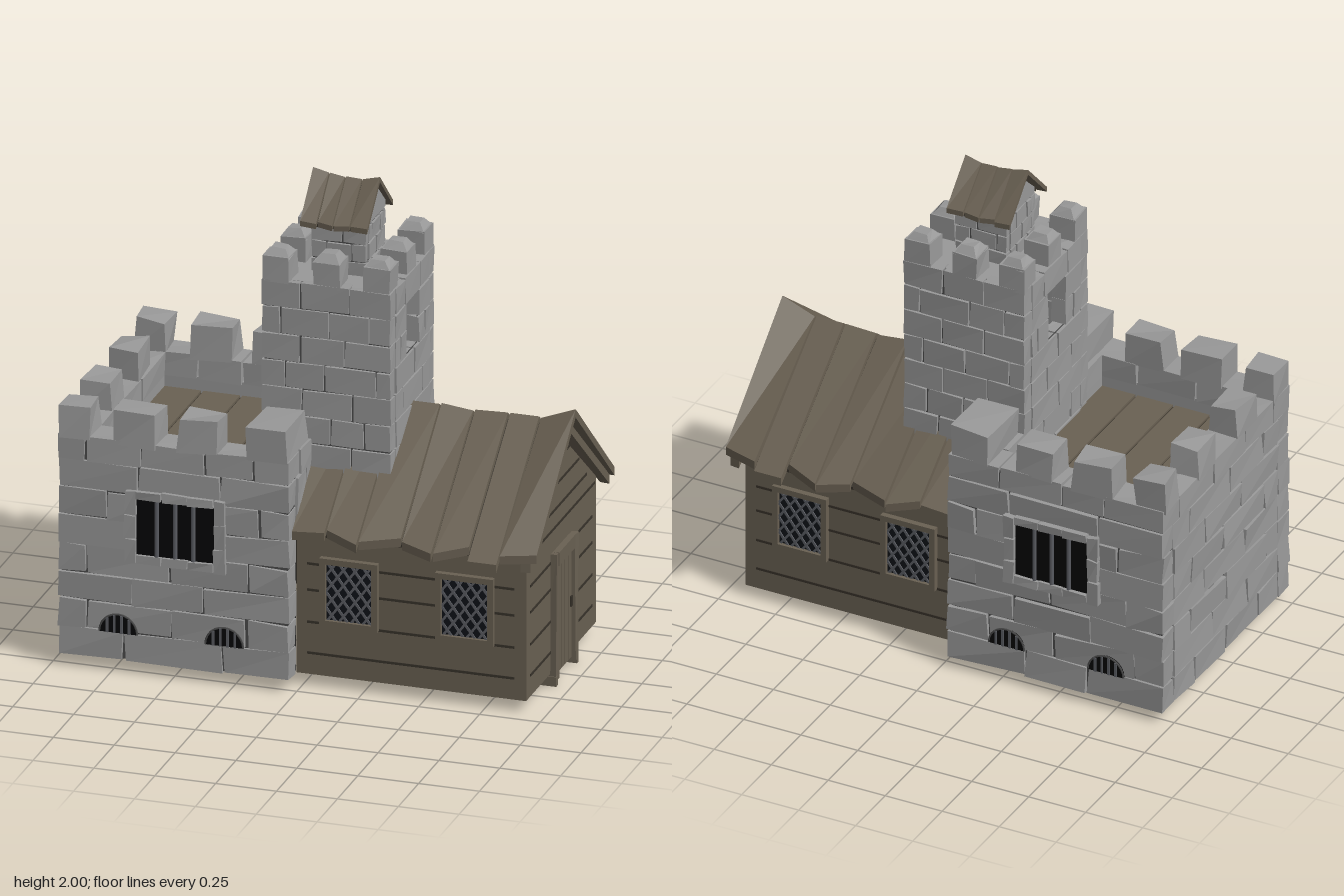
import * as THREE from 'three';
import { mergeGeometries } from 'three/addons/utils/BufferGeometryUtils.js';

const mat = (name, color) => Object.assign(new THREE.MeshStandardMaterial({ color }), { name });

export function createModel() {
  const stone = mat('stone', 0x999999), mortar = mat('mortar', 0x4c4c4c);
  const wood = mat('wood', 0x6a6153), darkWood = mat('dark wood', 0x38332b);
  const black = mat('black', 0x050506), glass = mat('dark glass', 0x0f1218), iron = mat('iron', 0x5c5e64);
  const model = new THREE.Group();
  model.name = 'castle';

  let seed = 7;
  const rnd = () => (seed = (seed * 16807) % 2147483647) / 2147483647 - 0.5;

  // Box whose eight corners are placed by a rule of (u, v, w) in 0..1
  const warp = (fn) => {
    const g = new THREE.BoxGeometry(1, 1, 1).toNonIndexed(), p = g.attributes.position;
    for (let i = 0; i < p.count; i++) p.setXYZ(i, ...fn(p.getX(i) + 0.5, p.getY(i) + 0.5, p.getZ(i) + 0.5));
    g.computeVertexNormals();
    return g;
  };
  const lerp = (a, b, t) => a + (b - a) * t;
  // Box from min/max limits, with rough corners and an optional top taper
  const block = (x0, x1, y0, y1, z0, z1, rough = 0, taper = 0) => {
    const r = Array.from({ length: 24 }, () => rnd() * rough);
    return warp((u, v, w) => {
      const k = 3 * Math.round(u * 4 + v * 2 + w), d = taper * v;
      return [lerp(x0 + d, x1 - d, u) + r[k], lerp(y0, y1, v) + r[k + 1], lerp(z0 + d, z1 - d, w) + r[k + 2]];
    });
  };
  const add = (name, geos, material, parent = model) => {
    const list = [].concat(geos).map((g) => (g.index ? g.toNonIndexed() : g));
    const m = new THREE.Mesh(list.length > 1 ? mergeGeometries(list) : list[0], material);
    m.name = name;
    parent.add(m);
  };
  // Shape in (z, y) extruded along x
  const prism = (pts, x0, x1, hole) => {
    const s = new THREE.Shape(pts.map(([z, y]) => new THREE.Vector2(-z, y)));
    if (hole) s.holes.push(new THREE.Path(hole.map(([z, y]) => new THREE.Vector2(-z, y))));
    return new THREE.ExtrudeGeometry(s, { depth: x1 - x0, bevelEnabled: false })
      .rotateY(Math.PI / 2).translate(x0, 0, 0);
  };
  const rect = (a, y0, y1) => [[-a, y0], [a, y0], [a, y1], [-a, y1]];

  // Lengths of one brick course
  const split = (a, b, bw, odd) => {
    const n = Math.max(1, Math.round((b - a) / bw)), step = (b - a) / n, e = [a];
    for (let k = odd ? 0.5 : 1; k < n; k++) e.push(a + k * step + rnd() * step * 0.3);
    e.push(b);
    return e.slice(1).map((v, i) => [e[i] + 0.004, v - 0.004]);
  };
  // Four brick walls; spans(side, y) limits the z runs of the end walls
  const ring = (x0, x1, y0, y1, z1, n, t, bw, rough, spans) => {
    const out = [], h = (y1 - y0) / n;
    for (let i = 0; i < n; i++) {
      const a = y0 + i * h + 0.003, b = y0 + (i + 1) * h - 0.003;
      for (const [p, q] of split(x0, x1, bw, i % 2)) out.push(block(p, q, a, b, z1 - t, z1, rough));
      for (const [p, q] of split(x0, x1, bw, i % 2)) out.push(block(p, q, a, b, -z1, -z1 + t, rough));
      for (const side of [-1, 1]) for (const [s, e] of spans(side, (a + b) / 2))
        for (const [p, q] of split(s, e, bw, (i + 1) % 2))
          out.push(block(side < 0 ? x0 : x1 - t, side < 0 ? x0 + t : x1, a, b, p, q, rough));
    }
    return out;
  };

  // Keep: mortar walls, bricks, dark inner lining
  add('keepBricks', ring(-0.97, -0.02, 0.05, 0.87, 0.533, 7, 0.09, 0.29, 0.012,
    (side, y) => (side > 0 && y < 0.6 ? [] : [[-0.443, 0.443]])), stone);
  add('keepMortar', [
    ...[-1, 1].map((s) => block(-0.957, -0.03, 0.055, 0.95, s * 0.475 - 0.045, s * 0.475 + 0.045)),
    block(-0.957, -0.89, 0.055, 0.95, -0.5, 0.5), block(-0.1, -0.033, 0.62, 0.95, -0.5, 0.5)], mortar);
  add('keepLining', [-1, 1].map((s) => block(-0.87, -0.03, 0.055, 0.8, s * 0.426 - 0.004, s * 0.426 + 0.004)), black);

  // Parapet rim with its inner face, and merlons
  const rim = [], merlons = [];
  for (const s of [-1, 1]) {
    const z0 = s > 0 ? 0.4 : -0.53, z1 = z0 + 0.13;
    for (const [p, q] of split(-0.975, -0.02, 0.27, s > 0)) rim.push(block(p, q, 0.873, 0.97, z0, z1, 0.008));
    rim.push(block(-0.9, -0.1, 0.8, 0.88, s * 0.425 - 0.02, s * 0.425 + 0.02));
    for (const [a, b] of [[-0.97, -0.84], [-0.74, -0.57], [-0.48, -0.32]])
      merlons.push(block(a, b, 0.96, 1.095, z0, z1, 0.018, 0.004));
    merlons.push(block(-0.2, -0.03, 0.96, 1.095, s > 0 ? 0.28 : -0.53, s > 0 ? 0.53 : -0.28, 0.015, 0.003));
    merlons.push(block(-0.97, -0.85, 0.96, 1.09, s * 0.17 - 0.08, s * 0.17 + 0.08, 0.018, 0.004));
  }
  for (const [p, q] of split(-0.4, 0.4, 0.27))
    rim.push(block(-0.97, -0.84, 0.873, 0.97, p, q, 0.008), block(-0.22, -0.02, 0.873, 0.97, p, q, 0.008));
  rim.push(block(-0.9, -0.845, 0.8, 0.88, -0.41, 0.41), block(-0.215, -0.09, 0.8, 0.88, -0.41, 0.41));
  add('keepParapet', rim, stone);
  add('keepMerlons', merlons, stone);
  add('keepRoofSeams', block(-0.85, -0.21, 0.8, 0.815, -0.41, 0.41), darkWood);
  add('keepRoofPlanks', [[-0.85, -0.695], [-0.685, -0.535], [-0.525, -0.37], [-0.36, -0.21]]
    .map(([a, b]) => block(a, b, 0.805, 0.825, -0.41, 0.41)), wood);

  // Keep windows: barred opening with stone frame, and two arched vents
  for (const s of [1, -1]) {
    const g = new THREE.Group();
    g.name = s > 0 ? 'frontKeepWindows' : 'backKeepWindows';
    g.rotation.y = s > 0 ? 0 : Math.PI;
    model.add(g);
    const cx = -0.485 * s, frame = [], bars = [], panes = [], arches = [];
    panes.push(block(cx - 0.16, cx + 0.16, 0.51, 0.75, 0.5, 0.541));
    for (const k of [-1, 1]) {
      for (let i = 0; i < 3; i++) {
        const y = 0.475 + i * 0.102;
        frame.push(block(cx + k * 0.183 - 0.022, cx + k * 0.183 + 0.022, y, y + 0.097, 0.415, 0.555, 0.008));
      }
      for (let i = 0; i < 3; i++) {
        const x = cx - 0.16 + i * 0.107, y = k > 0 ? 0.745 : 0.475;
        frame.push(block(x, x + 0.103, y, y + 0.035, 0.415, 0.555, 0.006));
      }
    }
    for (const x of [-0.075, 0, 0.075])
      bars.push(new THREE.CylinderGeometry(0.009, 0.009, 0.24, 6).translate(cx + x, 0.63, 0.544));
    for (const x of [-0.72, -0.285]) {
      const half = new THREE.CylinderGeometry(0.076, 0.076, 0.05, 12, 1, false, -Math.PI / 2, Math.PI);
      panes.push(half.rotateX(-Math.PI / 2).translate(x * s, 0.168, 0.517));
      arches.push(new THREE.TorusGeometry(0.077, 0.005, 4, 12, Math.PI).translate(x * s, 0.168, 0.54));
      for (const d of [-0.045, -0.015, 0.015, 0.045])
        bars.push(block(x * s + d - 0.005, x * s + d + 0.005, 0.168, 0.168 + Math.sqrt(0.0057 - d * d), 0.54, 0.547));
    }
    add('windowPanes', panes, black, g);
    add('windowStoneFrame', frame, stone, g);
    add('windowBars', bars, iron, g);
    add('ventArches', arches, mortar, g);
  }

  // Tower with a side to side opening
  add('towerMortar', prism(rect(0.256, 0.62, 1.61), -0.214, 0.299, rect(0.075, 1.288, 1.504)), mortar);
  add('towerBricks', ring(-0.225, 0.31, 0.613, 1.62, 0.268, 9, 0.06, 0.21, 0.006,
    (side, y) => (y > 1.284 && y < 1.508 ? [[-0.21, -0.07], [0.07, 0.21]] : [[-0.21, 0.21]])), stone);
  add('towerTop', block(-0.2, 0.285, 1.605, 1.617, -0.24, 0.24), stone);
  const points = [];
  for (let i = -1; i <= 1; i++) for (let j = -1; j <= 1; j++) {
    if (!i && !j) continue;
    const x = 0.042 + i * 0.207, z = j * 0.213;
    points.push(block(x - 0.054, x + 0.054, 1.61, 1.716, z - 0.052, z + 0.052, 0.008),
      block(x - 0.052, x + 0.052, 1.71, 1.745, z - 0.05, z + 0.05, 0.006, 0.024));
  }
  add('towerMerlons', points, stone);

  // Turret on the tower
  add('turretMortar', prism([[-0.113, 1.6], [0.113, 1.6], [0.113, 1.845], [0, 1.95], [-0.113, 1.845]], -0.062, 0.152), mortar);
  add('turretBricks', ring(-0.07, 0.16, 1.6, 1.82, 0.122, 3, 0.03, 0.12, 0.005, () => [[-0.09, 0.09]]), stone);
  add('turretGables', prism([[-0.113, 1.826], [0.113, 1.826], [0.113, 1.853], [0, 1.957], [-0.113, 1.853]], -0.069, 0.159), stone);

  // Pitched roofs: rows of [x0, x1, ridge0, ridge1, eave0, eave1, reach0, reach1]
  const slope = ([xa, xb, ra, rb, ea, eb, za, zb], s, thick, drop) => warp((u, v, w) => {
    const k = s > 0 ? w : 1 - w;
    return [lerp(xa, xb, u), lerp(lerp(ra, rb, u), lerp(ea, eb, u), k) - drop - (1 - v) * thick, s * k * lerp(za, zb, u)];
  });
  const bothSlopes = (row, thick, drop) => [1, -1].map((s) => slope(row, s, thick, drop));
  const roof = (name, rows, under, thick) => {
    add(name + 'Planks', rows.flatMap((r) => bothSlopes(r, thick, 0)), wood);
    add(name + 'Underlay', bothSlopes(under, 0.012, thick * 0.75), darkWood);
  };
  roof('houseRoof', [
    [-0.02, 0.112, 1.07, 1.06, 0.67, 0.68, 0.5, 0.5],
    [0.12, 0.252, 1.07, 1.06, 0.69, 0.66, 0.49, 0.53],
    [0.26, 0.42, 1.07, 1.07, 0.67, 0.69, 0.52, 0.48],
    [0.428, 0.558, 1.075, 1.06, 0.68, 0.66, 0.49, 0.525],
    [0.566, 0.7, 1.065, 1.07, 0.66, 0.69, 0.52, 0.48],
    [0.71, 0.828, 1.07, 1.07, 0.65, 0.65, 0.53, 0.53],
    [0.836, 0.978, 1.065, 1.12, 0.68, 0.69, 0.51, 0.48],
  ], [-0.02, 0.88, 1.065, 1.07, 0.69, 0.69, 0.48, 0.48], 0.035);
  add('bargeBoards', bothSlopes([0.915, 0.955, 1.07, 1.09, 0.685, 0.685, 0.49, 0.485], 0.04, 0.03), wood);
  roof('turretRoof', [
    [-0.1, -0.035, 2, 1.985, 1.835, 1.83, 0.16, 0.16],
    [-0.03, 0.031, 1.985, 1.975, 1.835, 1.83, 0.15, 0.16],
    [0.036, 0.1, 1.978, 1.975, 1.83, 1.835, 0.16, 0.155],
    [0.105, 0.175, 1.975, 1.993, 1.835, 1.835, 0.155, 0.16],
  ], [-0.06, 0.145, 1.975, 1.975, 1.84, 1.84, 0.145, 0.145], 0.022);

  // House walls, open below
  add('houseSideWalls', [-1, 1].map((s) => block(-0.025, 0.915, 0.05, 0.7, s * 0.415 - 0.015, s * 0.415 + 0.015)), wood);
  add('houseEndWall', prism([[-0.428, 0.05], [0.428, 0.05], [0.428, 0.705], [0, 1.055], [-0.428, 0.705]], 0.885, 0.918), wood);
  const seams = [];
  for (const y of [0.14, 0.27, 0.405, 0.515]) {
    for (const s of [-1, 1]) seams.push(block(0.02, 0.87, y - 0.005, y + 0.005, s * 0.43 - 0.003, s * 0.43 + 0.003));
    seams.push(block(0.914, 0.921, y - 0.005, y + 0.005, -0.38, 0.38));
  }
  for (const [y, h] of [[0.645, 0.41], [0.72, 0.31], [0.82, 0.22], [0.92, 0.11]])
    seams.push(block(0.914, 0.921, y - 0.005, y + 0.005, -h, h));
  add('houseSeams', seams, darkWood);

  // Door in its frame
  add('doorFrame', [-1, 1].map((s) => block(0.88, 0.944, 0.02, 0.55, s * 0.115 - 0.018, s * 0.115 + 0.018, 0.006))
    .concat(block(0.88, 0.944, 0.495, 0.55, -0.1, 0.1), [-1, 1].map((s) => block(0.87, 0.944, 0, 0.04, s * 0.128 - 0.01, s * 0.128 + 0.01))), wood);
  add('doorRecess', block(0.9, 0.924, 0.04, 0.5, -0.1, 0.1), darkWood);
  add('doorPlanks', [-0.066, -0.022, 0.022, 0.066].map((z) => block(0.9, 0.933, 0.04, 0.488, z - 0.02, z + 0.02)), wood);
  add('doorHandle', block(0.93, 0.94, 0.258, 0.302, -0.078, -0.064), darkWood);

  // Lattice windows, glazed on both faces of the wall
  const w = 0.095, h = 0.12, k = 1.35;
  for (const s of [1, -1]) for (const x of [0.195, 0.67]) {
    const g = new THREE.Group(), lattice = [];
    g.name = 'latticeWindow';
    g.position.set(x, 0.41, s * 0.43);
    g.rotation.y = s > 0 ? 0 : Math.PI;
    model.add(g);
    for (const z of [0.01, -0.037]) for (const m of [-1, 1]) for (let c = -0.195; c < 0.2; c += 0.065) {
      const a = Math.max(-w, (-h - c) / k), b = Math.min(w, (h - c) / k);
      if (b - a < 0.01) continue;
      lattice.push(new THREE.BoxGeometry(Math.hypot(b - a, k * (b - a)), 0.01, 0.005)
        .rotateZ(m * Math.atan(k)).translate((a + b) / 2, m * (k * (a + b) / 2 + c), z));
    }
    add('windowPane', block(-w, w, -h, h, -0.035, 0.008), glass, g);
    add('windowLattice', lattice, iron, g);
    add('windowFrame', [-1, 1].flatMap((d) => [
      block(d * 0.107 - 0.012, d * 0.107 + 0.012, -0.142, 0.142, -0.05, 0.024),
      block(-0.1, 0.1, d * 0.13 - 0.012, d * 0.13 + 0.012, -0.05, 0.024)]), wood, g);
  }
  return model;
}
